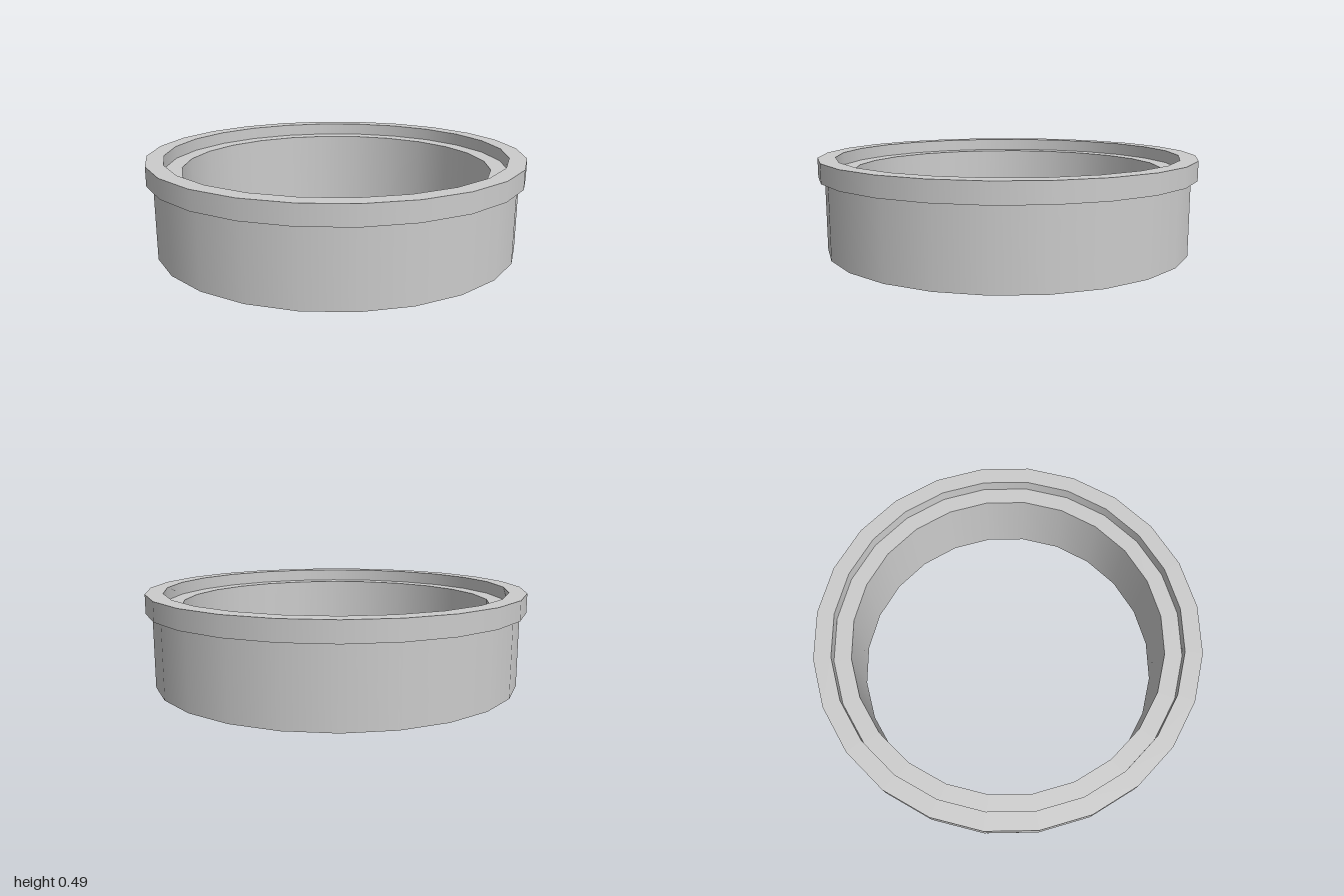
import * as THREE from 'three';
import { mergeGeometries } from 'three/addons/utils/BufferGeometryUtils.js';

const SIDES = 24;

// Revolve each profile segment on its own: smooth around, sharp between bands.
// Counter-clockwise profiles in (radius, height) face outwards.
function ring(name, profile) {
  const bands = [];
  for (let i = 0; i < profile.length - 1; i++) {
    const ends = [profile[i], profile[i + 1]].map(([r, y]) => new THREE.Vector2(r, y));
    bands.push(new THREE.LatheGeometry(ends, SIDES));
  }
  const material = new THREE.MeshStandardMaterial({ color: 0xcccccc, side: THREE.DoubleSide });
  const mesh = new THREE.Mesh(mergeGeometries(bands), material);
  mesh.name = name;
  return mesh;
}

export function createModel() {
  const group = new THREE.Group();
  group.name = 'flangedRing';

  // outer wall, with its bottom face and the outer side of the narrow groove
  group.add(ring('body', [[0.853, 0.42], [0.853, 0], [0.967, 0], [0.967, 0.387]]));

  // wider lip around the top, open in the middle
  group.add(ring('flange', [[0.967, 0.387], [1, 0.387], [1, 0.487], [0.91, 0.487], [0.91, 0.42]]));

  // recessed seat and the thin sleeve that lines the bore
  group.add(ring('innerSleeve', [[0.91, 0.42], [0.82, 0.42], [0.82, 0]]));

  return group;
}
